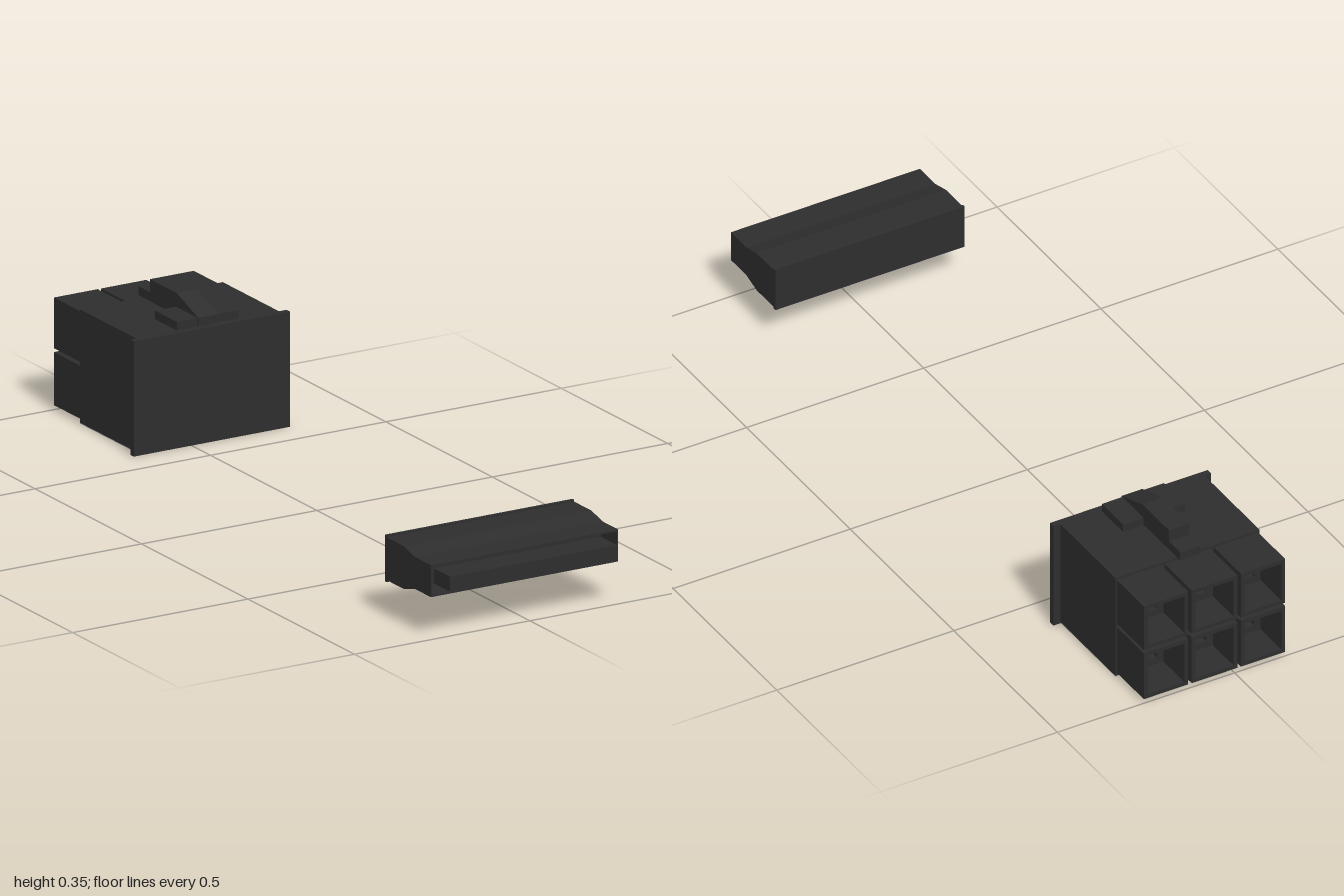
import * as THREE from 'three';

const dark = new THREE.MeshStandardMaterial({ color: 0x2e2e2e, flatShading: true });
const pale = new THREE.MeshStandardMaterial({ color: 0x9a9a9a, flatShading: true });

function add(parent, name, geometry, material = dark) {
  const mesh = new THREE.Mesh(geometry, material);
  mesh.name = name;
  parent.add(mesh);
  return mesh;
}

// Box given by its limits on each axis
function block(parent, name, [x0, x1], [y0, y1], [z0, z1], material) {
  const mesh = add(parent, name, new THREE.BoxGeometry(x1 - x0, y1 - y0, z1 - z0), material);
  mesh.position.set((x0 + x1) / 2, (y0 + y1) / 2, (z0 + z1) / 2);
  return mesh;
}

const outline = (points) => points.map(([a, b]) => new THREE.Vector2(a, b));
const rect = (x0, x1, y0, y1) => [[x0, y0], [x1, y0], [x1, y1], [x0, y1]];

// Plate with a hole, extruded along z
function frame(parent, name, outer, inner, z0, z1) {
  const shape = new THREE.Shape(outline(outer));
  shape.holes.push(new THREE.Path(outline(inner)));
  const geometry = new THREE.ExtrudeGeometry(shape, { depth: z1 - z0, bevelEnabled: false });
  return add(parent, name, geometry.translate(0, 0, z0));
}

// Side profile of [z, y] points, extruded along x
function profile(parent, name, points, x0, x1) {
  const shape = new THREE.Shape(outline(points.map(([z, y]) => [-z, y])));
  const geometry = new THREE.ExtrudeGeometry(shape, { depth: x1 - x0, bevelEnabled: false });
  return add(parent, name, geometry.rotateY(Math.PI / 2).translate(x0, 0, 0));
}

function createHousing() {
  const housing = new THREE.Group();
  housing.name = 'housing';
  block(housing, 'housingBody', [-0.147, 0.26], [0.004, 0.295], [-0.87, -0.604]);
  block(housing, 'housingFlange', [-0.165, 0.28], [0, 0.296], [-0.604, -0.588]);
  block(housing, 'housingUnderside', [-0.147, 0.26], [0.002, 0.004], [-0.87, -0.604], pale);

  // Two rows of three open sockets at the back
  const wall = 0.011;
  for (const [y0, y1] of [[0.012, 0.148], [0.158, 0.288]]) {
    for (const [x0, x1] of [[-0.143, -0.018], [-0.008, 0.121], [0.131, 0.256]]) {
      frame(housing, 'socket', rect(x0, x1, y0, y1),
        rect(x0 + wall, x1 - wall, y0 + wall, y1 - wall), -1, -0.87);
      // Narrower throat deep inside
      frame(housing, 'socketThroat',
        rect(x0 + wall, x1 - wall, y0 + wall, y1 - wall),
        rect(x0 + 0.03, x1 - 0.03, y0 + 0.03, y1 - 0.03), -0.9, -0.87);
    }
  }

  // Latch pad and ramped arm on top
  block(housing, 'latchPad', [-0.03, 0.145], [0.295, 0.317], [-0.71, -0.608]);
  profile(housing, 'latchArm', [
    [-0.604, 0.295], [-0.604, 0.318], [-0.705, 0.353], [-0.832, 0.353],
    [-0.832, 0.32], [-0.886, 0.32], [-0.886, 0.297],
  ], 0.029, 0.087);
  return housing;
}

function createCover() {
  const cover = new THREE.Group();
  cover.name = 'cover';
  const x0 = -0.282, x1 = 0.252;
  // Flared rear half
  profile(cover, 'coverBody', [
    [0.925, 0.109], [0.925, 0.191], [0.875, 0.204], [0.793, 0.204],
    [0.793, 0.094], [0.875, 0.094],
  ], x0, x1);
  block(cover, 'coverLip', [x0, x1], [0.089, 0.209], [0.785, 0.793]);
  // Straight nose with an L-shaped recess
  const recess = [
    [-0.277, 0.113], [-0.227, 0.113], [-0.227, 0.152],
    [0.248, 0.152], [0.248, 0.187], [-0.277, 0.187],
  ];
  frame(cover, 'coverNose', rect(x0, x1, 0.109, 0.191), recess, 0.925, 1);
  return cover;
}

export function createModel() {
  const model = new THREE.Group();
  model.name = 'connectorPair';
  model.add(createHousing(), createCover());
  return model;
}
